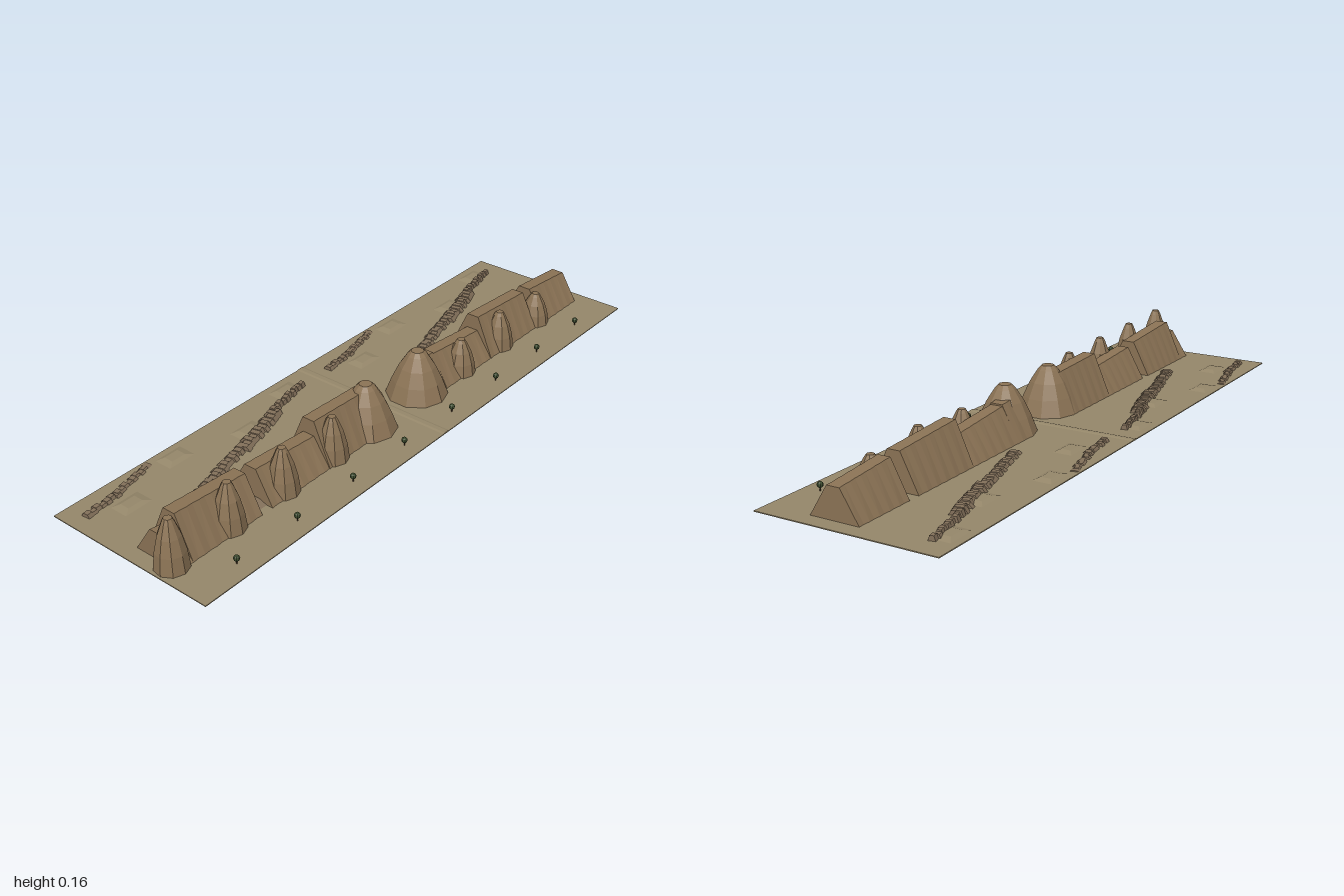
import * as THREE from 'three';

const mat = (color, extra = {}) => new THREE.MeshStandardMaterial({ color, flatShading: true, ...extra });
const earth = mat(0x8b7355), sand = mat(0x95876a), rubble = mat(0x83705a), leaf = mat(0x3b4a2c), bark = mat(0x4d3a28);
const GROUND = 0.003;

function add(parent, name, geometry, material, x = 0, y = 0, z = 0) {
  const mesh = new THREE.Mesh(geometry, material);
  mesh.name = name;
  mesh.position.set(x, y, z);
  parent.add(mesh);
  return mesh;
}

// Solid lofted along x; each station holds x, height, centre z, half base and half top
function loft(stations) {
  const pos = [], idx = [];
  for (const s of stations) {
    pos.push(s.x, 0, s.z - s.base, s.x, s.h, s.z - s.top, s.x, s.h, s.z + s.top, s.x, 0, s.z + s.base);
  }
  for (let i = 0; i < stations.length - 1; i++) {
    for (let j = 0; j < 4; j++) {
      const a = i * 4 + j, b = i * 4 + (j + 1) % 4, c = a + 4, d = b + 4;
      idx.push(a, b, c, b, d, c);
    }
  }
  const e = pos.length / 3 - 4;
  idx.push(0, 2, 1, 0, 3, 2, e, e + 1, e + 2, e, e + 2, e + 3);
  const g = new THREE.BufferGeometry();
  g.setAttribute('position', new THREE.Float32BufferAttribute(pos, 3));
  g.setIndex(idx);
  g.computeVertexNormals();
  return g;
}

// Eroded rampart whose top falls from h0 to h1, with shallow gullies
function rampart(parent, x0, x1, h0, h1) {
  const n = Math.max(2, Math.round((x1 - x0) / 0.022)), stations = [];
  for (let i = 0; i <= n; i++) {
    const t = i / n, gully = i % 2 ? 0.002 : 0;
    stations.push({
      x: x0 + (x1 - x0) * t, h: h0 + (h1 - h0) * t,
      z: 0.066, base: 0.08 - gully, top: 0.021 - gully * 0.6,
    });
  }
  add(parent, 'rampart', loft(stations), earth, 0, GROUND - 0.001, 0);
}

// Faceted, bulging tower with a small flat cap
function tower(parent, name, x, z, r, h, cap, bulge, sides) {
  const pts = [[r, 0], [r * (0.8 + bulge), h * 0.35], [r * (0.58 + bulge), h * 0.66],
    [cap + r * 0.13, h * 0.91], [cap, h], [0, h]].map(p => new THREE.Vector2(...p));
  add(parent, name, new THREE.LatheGeometry(pts, sides), earth, x, GROUND - 0.001, z);
}

// Low broken wall running obliquely over the ground in jagged steps
function ruinedWall(parent, x0, z0, x1, z1, width, h0, h1) {
  const dx = x1 - x0, dz = z1 - z0, length = Math.hypot(dx, dz);
  const n = Math.round(length / 0.018), stations = [];
  for (let i = 0; i < n; i++) {
    const h = (h0 + (h1 - h0) * i / (n - 1)) * [1, 0.78, 0.94, 0.7, 0.88][i % 5];
    const base = width / 2 * [1, 0.8, 0.92, 0.74][i % 4], z = 0.003 * Math.sin(i * 2.3);
    for (const k of [0, 0.97]) stations.push({ x: (i + k) * length / n, h, z, base, top: base * 0.55 });
  }
  const wall = add(parent, 'ruinedWall', loft(stations), rubble, x0, GROUND - 0.001, z0);
  wall.rotation.y = -Math.atan2(dz, dx);
}

export function createModel() {
  const model = new THREE.Group();
  model.name = 'ruinedRampartSite';

  add(model, 'ground', new THREE.BoxGeometry(2, GROUND, 0.58), sand, 0, GROUND / 2, 0);

  // Shallow raised track across the middle
  const track = loft([{ x: -0.29, h: 0.002, z: 0, base: 0.014, top: 0.007 }, { x: 0.29, h: 0.002, z: 0, base: 0.014, top: 0.007 }]);
  add(model, 'centreTrack', track, sand, 0, GROUND, 0).rotation.y = Math.PI / 2;

  // Rampart sections: start, end, start height, end height
  const ramparts = new THREE.Group();
  ramparts.name = 'ramparts';
  model.add(ramparts);
  for (const s of [
    [-0.95, -0.9, 0.09, 0.083], [-0.9, -0.64, 0.13, 0.113],
    [-0.6, -0.36, 0.104, 0.088], [-0.36, -0.12, 0.137, 0.128],
    [0.13, 0.2, 0.115, 0.11], [0.2, 0.44, 0.105, 0.084],
    [0.44, 0.7, 0.132, 0.116], [0.74, 0.95, 0.112, 0.094],
  ]) rampart(ramparts, ...s);
  // Low debris in the breach
  add(ramparts, 'breachDebris', loft([
    { x: -0.645, h: 0.008, z: 0.066, base: 0.06, top: 0.03 },
    { x: -0.595, h: 0.011, z: 0.066, base: 0.06, top: 0.03 },
  ]), rubble, 0, GROUND - 0.001, 0);

  // Towers along the front of the ramparts
  const towers = new THREE.Group();
  towers.name = 'towers';
  model.add(towers);
  for (const [x, h] of [[-0.945, 0.157], [-0.735, 0.151], [-0.522, 0.147], [-0.312, 0.142],
    [0.312, 0.118], [0.525, 0.127], [0.738, 0.108]]) {
    tower(towers, 'wallTower', x, 0.113, 0.05, h, 0.012, 0.08, 9);
  }
  // Two large gate mounds either side of the gap
  for (const side of [-1, 1]) tower(towers, 'gateTower', side * 0.125, 0.083, 0.098, 0.15, 0.02, 0, 10);

  // The ruins behind repeat on each half of the site
  for (const ox of [0, 1]) {
    const ruins = new THREE.Group();
    ruins.name = ox ? 'leftRuins' : 'rightRuins';
    ruins.position.x = ox;
    model.add(ruins);
    ruinedWall(ruins, -0.725, -0.045, -0.44, -0.125, 0.045, 0.009, 0.014);
    ruinedWall(ruins, -0.45, -0.115, -0.235, -0.175, 0.055, 0.014, 0.018);
    ruinedWall(ruins, -0.25, -0.182, -0.07, -0.222, 0.028, 0.018, 0.018);
    ruinedWall(ruins, -0.95, -0.218, -0.82, -0.232, 0.03, 0.012, 0.01);
    ruinedWall(ruins, -0.83, -0.233, -0.67, -0.272, 0.03, 0.009, 0.006);
    // Flat-topped building mounds
    for (const [x, z] of [[-0.83, -0.168], [-0.6, -0.238], [-0.365, -0.17], [-0.13, -0.235]]) {
      add(ruins, 'buildingMound', loft([
        { x: -0.048, h: 0.001, z: 0, base: 0.033, top: 0.03 },
        { x: -0.025, h: 0.007, z: 0, base: 0.033, top: 0.016 },
        { x: 0.025, h: 0.007, z: 0, base: 0.033, top: 0.016 },
        { x: 0.048, h: 0.001, z: 0, base: 0.033, top: 0.03 },
      ]), sand, x, GROUND - 0.001, z);
    }
  }

  // Row of small round trees along the front
  for (let i = 0; i < 8; i++) {
    const tree = new THREE.Group();
    tree.name = 'tree';
    tree.position.set(-0.832 + i * 0.2335, GROUND, 0.235);
    add(tree, 'trunk', new THREE.CylinderGeometry(0.0015, 0.002, 0.014, 6), bark, 0, 0.007, 0);
    add(tree, 'crown', new THREE.SphereGeometry(0.0095, 8, 6), leaf, 0, 0.018, 0);
    model.add(tree);
  }
  return model;
}
